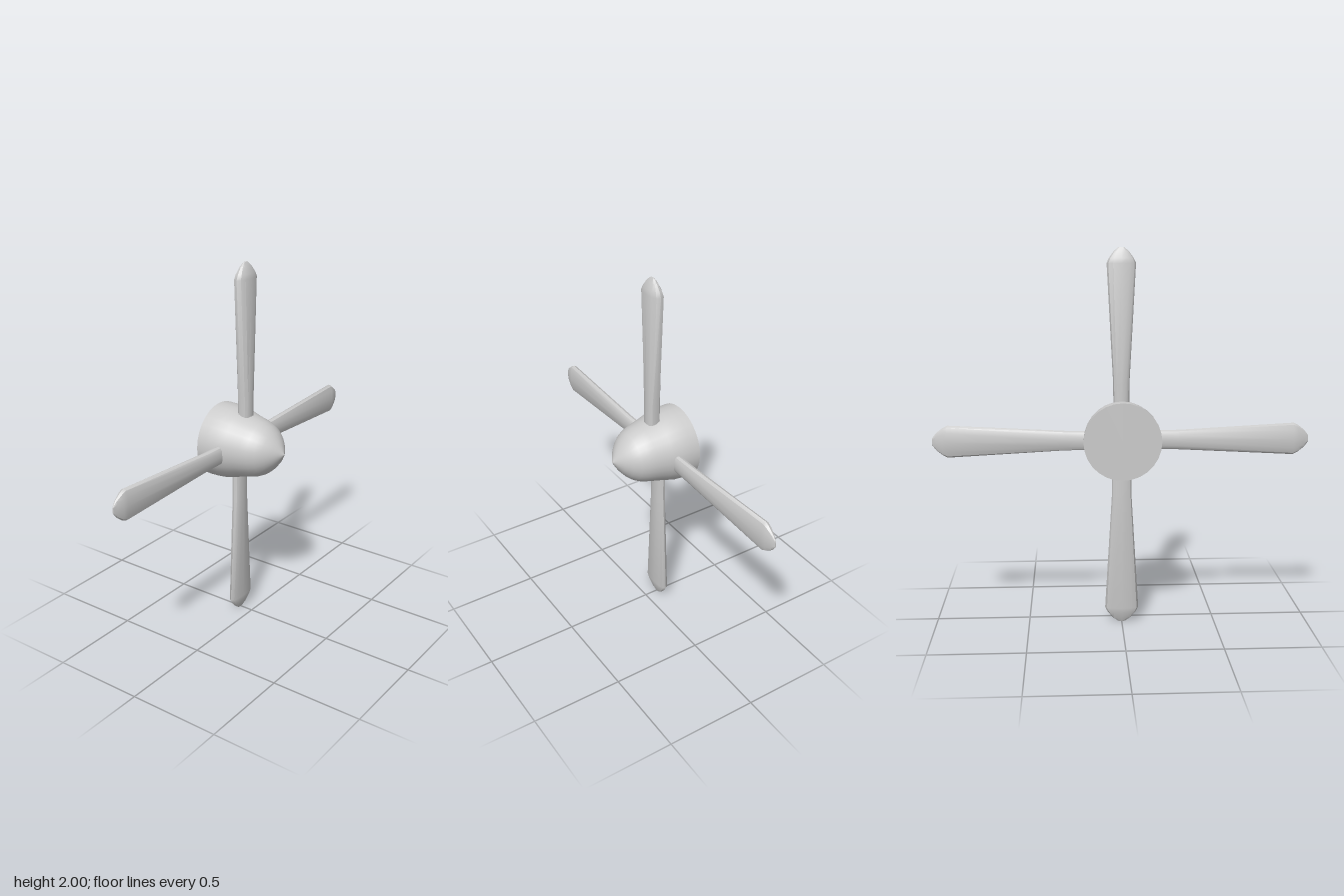
import * as THREE from 'three';
import { toCreasedNormals } from 'three/addons/utils/BufferGeometryUtils.js';

const material = new THREE.MeshStandardMaterial({ color: 0xcccccc });

// Blade lofted along +y: flattened cross-sections that widen outward and taper to a tip
function bladeGeometry(length, rootHalf, endHalf, thickHalf) {
  const sides = 12;
  const sections = [ // distance from the hub axis, half width, half thickness
    [0.1, rootHalf, thickHalf],
    [0.3, rootHalf * 1.05, thickHalf],
    [length - 0.08, endHalf, thickHalf],
    [length - 0.055, endHalf * 0.85, thickHalf * 0.85],
    [length - 0.02, endHalf * 0.52, thickHalf * 0.45],
    [length, endHalf * 0.2, thickHalf * 0.12],
  ];
  const soften = (v) => Math.sign(v) * Math.pow(Math.abs(v), 0.8);
  const positions = [], index = [];
  for (const [y, w, t] of sections) {
    for (let j = 0; j < sides; j++) {
      const a = (j / sides) * Math.PI * 2;
      positions.push(w * soften(Math.cos(a)), y, t * soften(Math.sin(a)));
    }
  }
  const last = (sections.length - 1) * sides;
  const tip = positions.length / 3;
  positions.push(0, length, 0, 0, sections[0][0], 0);
  for (let j = 0; j < sides; j++) {
    const k = (j + 1) % sides;
    for (let r = 0; r < last; r += sides) {
      index.push(r + j, r + sides + j, r + k, r + k, r + sides + j, r + sides + k);
    }
    index.push(tip, last + k, last + j, tip + 1, j, k);
  }
  const geometry = new THREE.BufferGeometry();
  geometry.setAttribute('position', new THREE.Float32BufferAttribute(positions, 3));
  geometry.setIndex(index);
  return toCreasedNormals(geometry, 0.6);
}

export function createModel() {
  const group = new THREE.Group();
  const add = (name, geometry, x, y, z) => {
    const mesh = new THREE.Mesh(geometry, material);
    mesh.name = name;
    mesh.position.set(x, y, z);
    group.add(mesh);
    return mesh;
  };

  // Spinner: pointed nose flaring to a wide flat back
  const profile = [
    [0.203, -0.21], [0.202, -0.16], [0.197, -0.105], [0.184, -0.055], [0.171, -0.01],
    [0.162, 0.03], [0.15, 0.07], [0.132, 0.107], [0.104, 0.14], [0.068, 0.17], [0.033, 0.192], [0, 0.21],
  ].map(([r, z]) => new THREE.Vector2(r, z));
  add('spinner', new THREE.LatheGeometry(profile, 28).rotateX(Math.PI / 2), 0, 1.015, 0);
  add('spinnerBack', new THREE.CircleGeometry(0.203, 28).rotateY(Math.PI), 0, 1.015, -0.21);

  // Four blades: name, angle, length, root and end half widths, half thickness, y, z
  const blades = [
    ['topBlade', 0, 1, 0.041, 0.076, 0.037, 1, -0.038],
    ['leftBlade', -Math.PI / 2, 0.99, 0.05, 0.085, 0.026, 1.003, -0.083],
    ['bottomBlade', Math.PI, 1, 0.05, 0.09, 0.026, 1, -0.08],
    ['rightBlade', Math.PI / 2, 0.99, 0.05, 0.085, 0.026, 1.003, -0.083],
  ];
  for (const [name, angle, length, root, end, thick, y, z] of blades) {
    add(name, bladeGeometry(length, root, end, thick), 0, y, z).rotation.z = angle;
  }
  return group;
}
